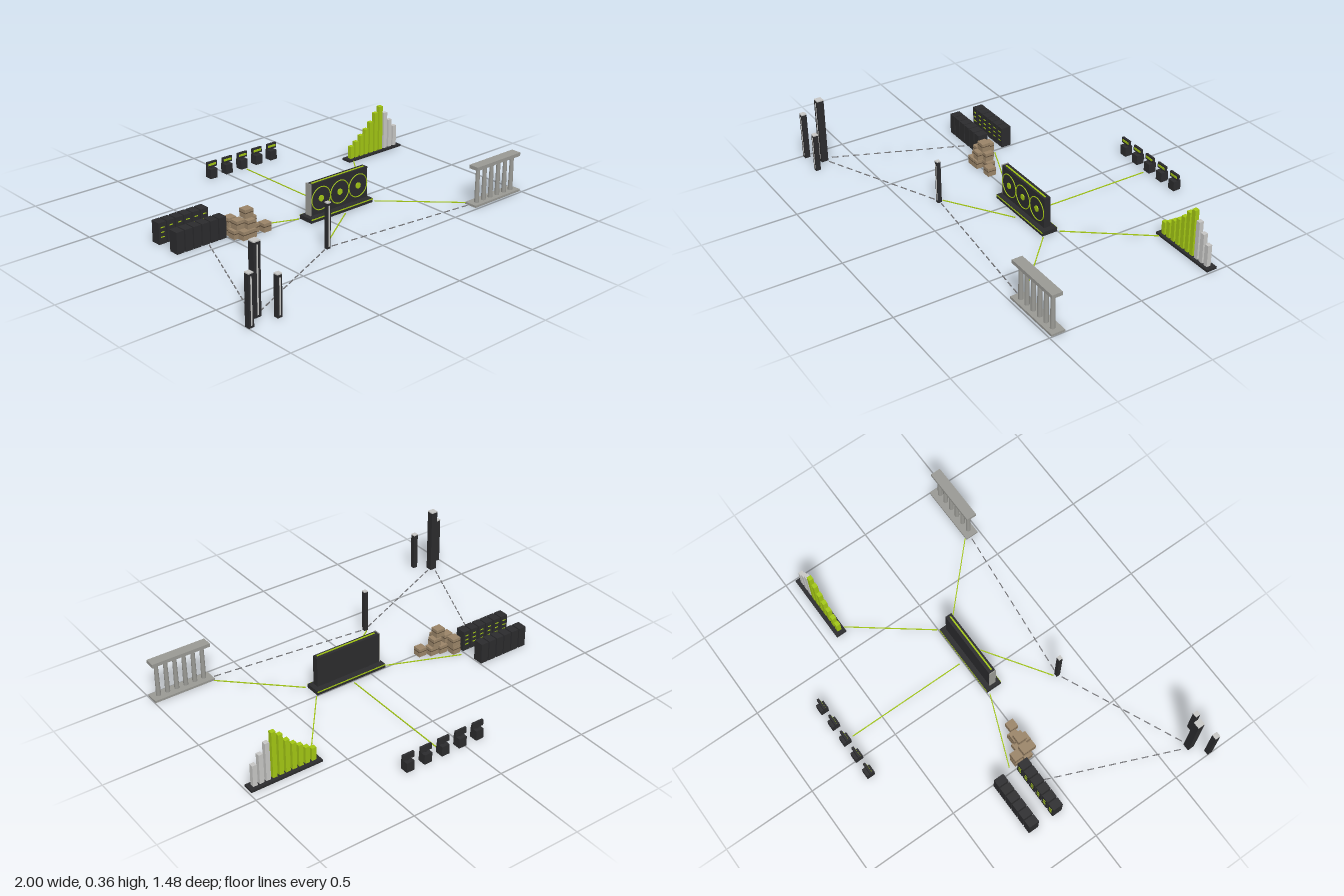
import * as THREE from 'three';

const mat = (name, color, side = THREE.FrontSide) => {
  const m = new THREE.MeshStandardMaterial({ color, side });
  m.name = name;
  return m;
};

export function createModel() {
  const charcoal = mat('charcoal', 0x2b2b2d);
  const lime = mat('lime', 0xa2c614);
  const silver = mat('silver', 0xc6c6c4);
  const stone = mat('stone', 0x999994);
  const tan = mat('tan', 0x9a8468);
  const brown = mat('tape brown', 0x5a4a38);
  const dashGrey = mat('dash grey', 0x77777a);

  const model = new THREE.Group();
  const group = (name) => {
    const g = new THREE.Group();
    g.name = name;
    model.add(g);
    return g;
  };
  // box placed by its centre in x and z and by its underside in y
  const box = (parent, name, m, w, h, d, x, y, z) => {
    const mesh = new THREE.Mesh(new THREE.BoxGeometry(w, h, d), m);
    mesh.position.set(x, y + h / 2, z);
    mesh.name = name;
    parent.add(mesh);
    return mesh;
  };

  // central console: base, upright panel and three dials
  const hub = group('console');
  box(hub, 'consoleBase', charcoal, 0.416, 0.022, 0.086, 0.116, 0, 0.045);
  for (const z of [0.0015, 0.0885]) box(hub, 'baseTrim', lime, 0.416, 0.006, 0.003, 0.116, 0.015, z);
  box(hub, 'consolePanel', charcoal, 0.376, 0.165, 0.036, 0.116, 0.029, 0.047);
  for (const x of [0, 0.23]) box(hub, 'panelFoot', charcoal, 0.02, 0.009, 0.025, x, 0.021, 0.047);
  box(hub, 'panelTopStrip', lime, 0.35, 0.003, 0.008, 0.116, 0.194, 0.05);
  box(hub, 'panelSideStrip', stone, 0.005, 0.168, 0.038, -0.074, 0.029, 0.047);
  for (const x of [-0.008, 0.116, 0.24]) {
    const ring = new THREE.Mesh(new THREE.TorusGeometry(0.061, 0.0028, 6, 40), lime);
    ring.position.set(x, 0.108, 0.066);
    ring.name = 'dialRing';
    const dot = new THREE.Mesh(new THREE.CylinderGeometry(0.016, 0.016, 0.006, 20), lime);
    dot.rotation.x = Math.PI / 2;
    dot.position.set(x, 0.108, 0.067);
    dot.name = 'dialCentre';
    hub.add(ring, dot);
  }

  // bar chart
  const chart = group('barChart');
  box(chart, 'chartBase', charcoal, 0.387, 0.012, 0.058, 0.796, 0, -0.417);
  [0.082, 0.102, 0.13, 0.157, 0.19, 0.235, 0.265, 0.22, 0.172, 0.128].forEach((h, i) =>
    box(chart, 'chartBar', i < 7 ? lime : silver, 0.024, h - 0.012, 0.024, 0.636 + i * 0.0355, 0.012, -0.415));

  // colonnade
  const hall = group('colonnade');
  box(hall, 'colonnadeBase', stone, 0.336, 0.012, 0.072, 0.83, 0, 0.452);
  box(hall, 'colonnadeBeam', stone, 0.322, 0.019, 0.056, 0.83, 0.197, 0.455);
  for (let i = 0; i < 6; i++) {
    const column = new THREE.Mesh(new THREE.CylinderGeometry(0.0105, 0.0125, 0.187, 12), stone);
    column.position.set(0.702 + i * 0.0512, 0.1045, 0.456);
    column.name = 'column';
    hall.add(column);
  }

  // two rows of cabinets with lights facing the aisle
  const cabinets = group('cabinets');
  for (const [z, s] of [[-0.231, 1], [-0.087, -1]]) {
    for (let i = 0; i < 6; i++) {
      const x = -0.777 + i * 0.05;
      box(cabinets, 'cabinet', charcoal, 0.043, 0.113, 0.056, x, 0, z);
      for (const y of [0.035, 0.06, 0.085])
        box(cabinets, 'cabinetLight', lime, 0.02, 0.005, 0.003, x, y, z + s * 0.0285);
    }
  }

  // pile of taped crates: x, layer, z
  const pile = group('cratePile');
  const crates = [
    [-0.465, 0, -0.09], [-0.472, 0, -0.035], [-0.445, 0, 0.004], [-0.415, 0, -0.045],
    [-0.41, 0, 0.003], [-0.365, 0, -0.033], [-0.31, 0, -0.006],
    [-0.462, 1, -0.09], [-0.455, 1, -0.033], [-0.41, 1, -0.005], [-0.38, 1, -0.035],
    [-0.405, 2, -0.03],
  ];
  crates.forEach(([x, layer, z], i) => {
    const w = 0.046 + (i % 3) * 0.002;
    box(pile, 'crate', tan, w, 0.045, 0.046, x, layer * 0.0465, z);
    box(pile, 'crateTape', brown, w + 0.001, 0.004, 0.047, x, layer * 0.0465 + 0.026, z);
  });

  // towers and the lone post: x, z, height, width
  const towers = group('towers');
  for (const [x, z, h, w] of [
    [-0.986, 0.715, 0.26, 0.028], [-0.906, 0.655, 0.362, 0.037],
    [-0.836, 0.724, 0.21, 0.026], [-0.219, 0.35, 0.24, 0.021],
  ]) {
    box(towers, 'tower', charcoal, w, h - 0.006, w, x, 0, z);
    box(towers, 'towerCap', silver, w, 0.006, w, x, h - 0.006, z);
    box(towers, 'towerStrip', silver, 0.007, h - 0.03, 0.002, x, 0.012, z + w / 2 + 0.001);
  }

  // row of desks with screens
  const desks = group('desks');
  for (let i = 0; i < 5; i++) {
    const x = -0.089 + i * 0.1025;
    box(desks, 'desk', charcoal, 0.044, 0.053, 0.044, x, 0, -0.721);
    box(desks, 'screenStand', charcoal, 0.008, 0.01, 0.008, x, 0.052, -0.721);
    box(desks, 'screen', charcoal, 0.064, 0.031, 0.012, x, 0.06, -0.721);
    box(desks, 'screenFace', lime, 0.05, 0.012, 0.002, x, 0.07, -0.714);
  }

  // ground links, solid or dashed
  const links = group('links');
  const link = (name, m, x1, z1, x2, z2, dash = 0) => {
    const len = Math.hypot(x2 - x1, z2 - z1);
    const n = dash ? Math.round(len / dash) : 1;
    const piece = dash ? (len / n) * 0.62 : len;
    for (let i = 0; i < n; i++) {
      const t = (i + 0.5) / n;
      const b = box(links, name, m, piece, 0.004, 0.005, x1 + (x2 - x1) * t, 0.002, z1 + (z2 - z1) * t);
      b.rotation.y = -Math.atan2(z2 - z1, x2 - x1);
    }
  };
  for (const p of [
    [0.116, -0.02, 0.116, -0.68], [0.335, -0.005, 0.63, -0.385], [0.335, 0.09, 0.67, 0.412],
    [0.115, 0.11, -0.215, 0.33], [-0.105, 0.01, -0.475, -0.14],
  ]) link('solidLink', lime, ...p);
  for (const p of [
    [-0.62, -0.05, -0.905, 0.62], [-0.88, 0.645, -0.235, 0.355], [-0.205, 0.35, 0.66, 0.443],
  ]) link('dashedLink', dashGrey, ...p, 0.058);

  return model;
}
